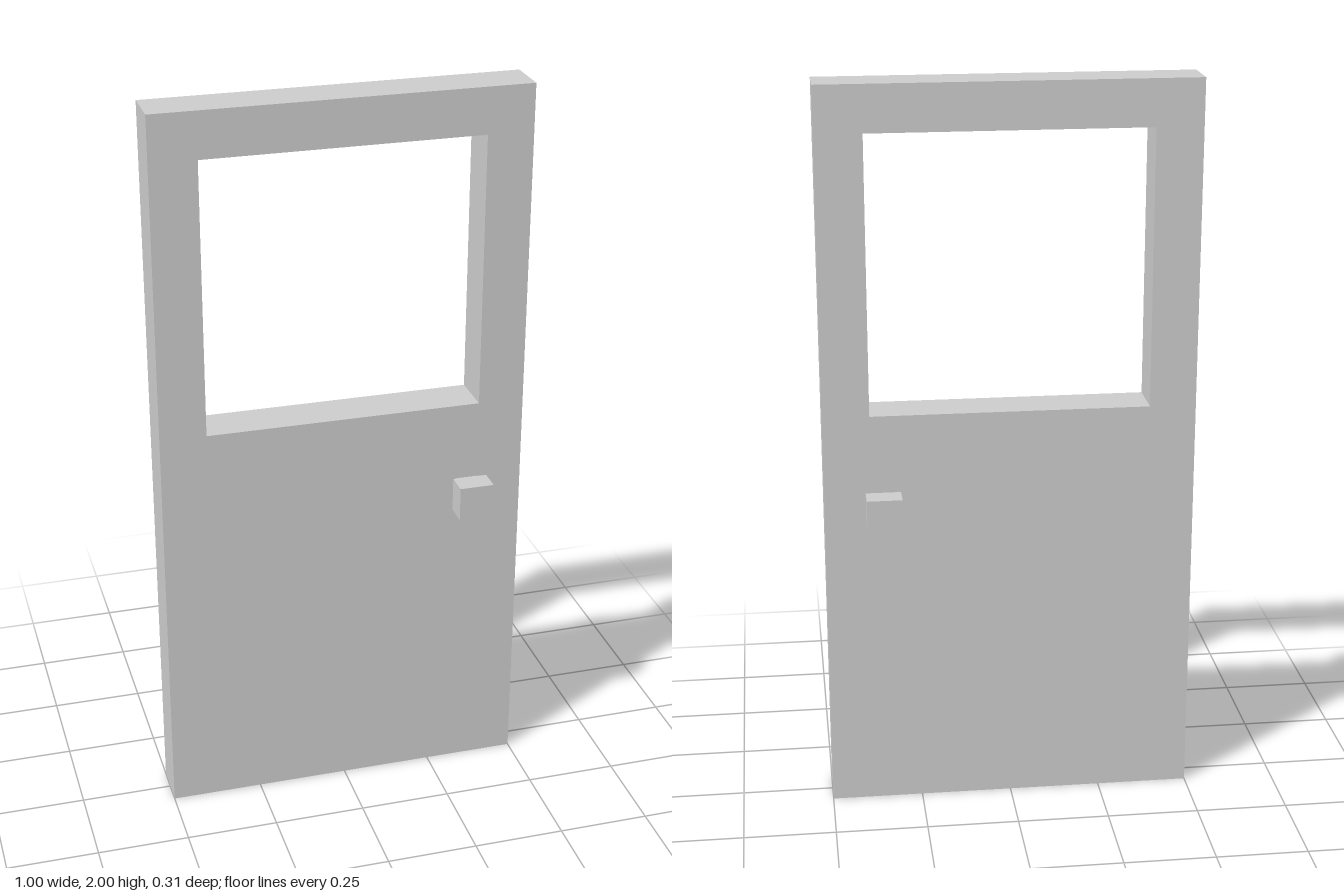
import * as THREE from 'three';

const material = new THREE.MeshStandardMaterial({ color: 0xcccccc, flatShading: true });
const DEPTH = 0.125;

function rectangle(PathType, x0, y0, x1, y1) {
  const path = new PathType();
  path.moveTo(x0, y0);
  path.lineTo(x1, y0);
  path.lineTo(x1, y1);
  path.lineTo(x0, y1);
  path.closePath();
  return path;
}

function box(name, size, z) {
  const mesh = new THREE.Mesh(new THREE.BoxGeometry(...size), material);
  mesh.name = name;
  mesh.position.z = z;
  return mesh;
}

export function createModel() {
  const door = new THREE.Group();
  door.name = 'door';

  // Door panel with a square window opening
  const outline = rectangle(THREE.Shape, -0.5, 0, 0.5, 2);
  outline.holes.push(rectangle(THREE.Path, -0.375, 1.125, 0.375, 1.875));
  const geometry = new THREE.ExtrudeGeometry(outline, { depth: DEPTH, bevelEnabled: false });
  geometry.translate(0, 0, -DEPTH / 2);
  const panel = new THREE.Mesh(geometry, material);
  panel.name = 'doorPanel';
  door.add(panel);

  // Square knob on a short stem, one on each face
  for (const [name, side] of [['frontKnob', 1], ['backKnob', -1]]) {
    const knob = new THREE.Group();
    knob.name = name;
    knob.position.set(0.344, 0.875, side * DEPTH / 2);
    knob.add(box('knobStem', [0.0625, 0.0625, 0.0313], side * 0.0156));
    knob.add(box('knobGrip', [0.094, 0.094, 0.0625], side * 0.0625));
    door.add(knob);
  }
  return door;
}
